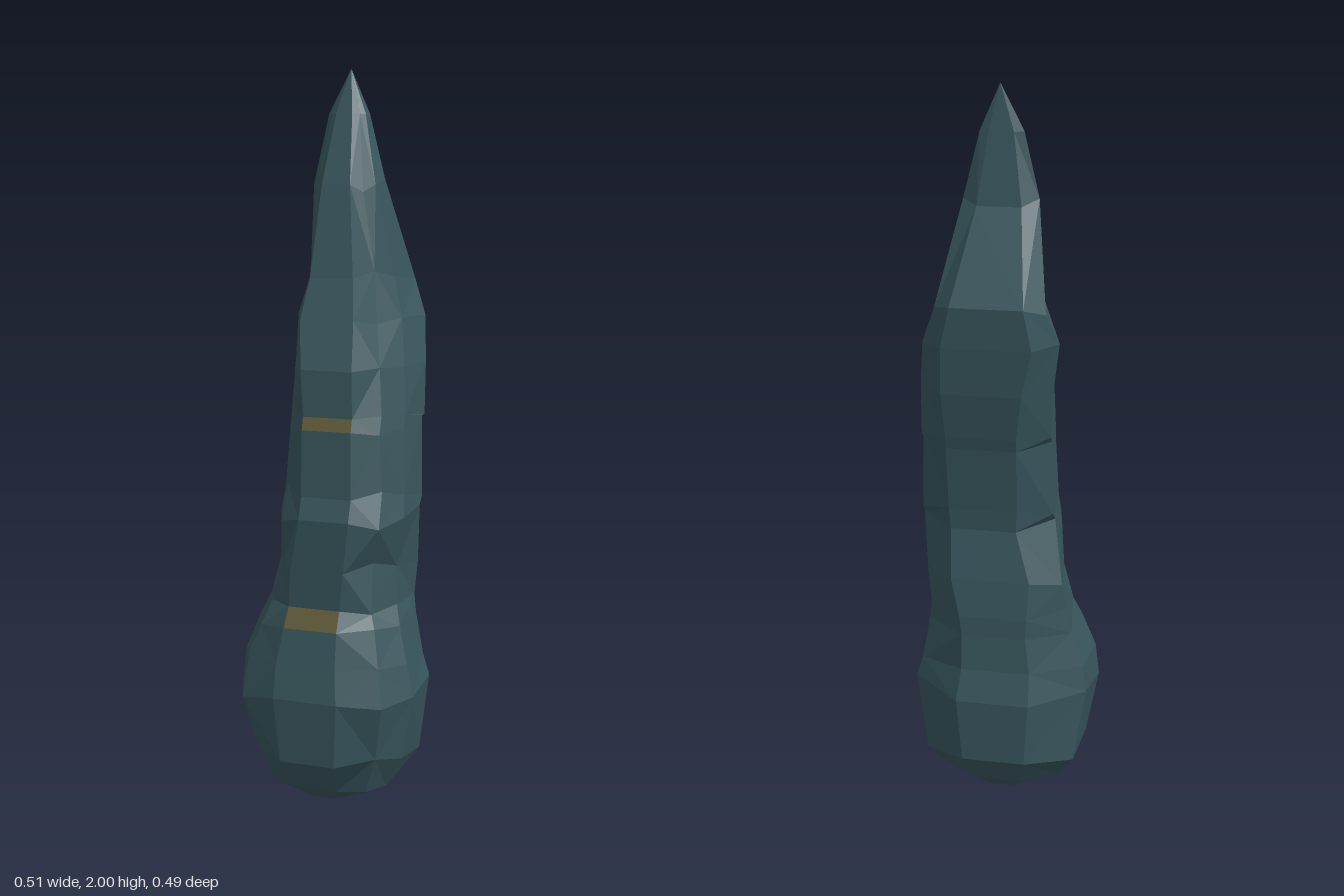
import * as THREE from 'three';

// Level of the spire: y, xMin, xMax, zBack, zFront, blend (0 = base shape, 1 = crown shape)
const LEVELS = [
  [0, -0.075, 0.075, -0.06, 0.12, 0],
  [0.04, -0.17, 0.17, -0.11, 0.165, 0],
  [0.13, -0.22, 0.22, -0.18, 0.23, 0],
  [0.31, -0.255, 0.255, -0.19, 0.245, 0],
  [0.4, -0.245, 0.235, -0.17, 0.228, 0],
  [0.5, -0.21, 0.212, -0.165, 0.208, 0.1],
  [0.555, -0.195, 0.2, -0.165, 0.183, 0.3],
  [0.66, -0.18, 0.205, -0.155, 0.188, 0.65],
  [0.8, -0.155, 0.225, -0.135, 0.195, 0.3],
  [0.86, -0.153, 0.222, -0.142, 0.175, 0.4],
  [1.04, -0.15, 0.213, -0.175, 0.165, 0.5],
  [1.075, -0.152, 0.212, -0.185, 0.152, 0.5],
  [1.2, -0.16, 0.205, -0.215, 0.145, 0.75],
  [1.33, -0.18, 0.188, -0.235, 0.095, 1],
  [1.44, -0.148, 0.15, -0.245, 0.055, 1],
  [1.69, -0.115, 0.09, -0.147, -0.01, 0.7],
  [1.88, -0.075, 0.045, -0.128, -0.075, 0.6],
  [2, -0.011, -0.009, -0.116, -0.114, 0.5],
];
const GOLD_BANDS = [5, 10]; // front facets that carry the inlays

// Right half of the ten-sided outline, front to back, on a unit square
const BASE = [[0.36, 1], [0.8, 0.74], [1, 0.28], [0.96, -0.5], [0.4, -1]];
const CROWN = [[0.42, 1], [0.63, 0.5], [0.84, 0], [1, -0.65], [0.66, -1]];

function ring([y, x0, x1, z0, z1, blend], level) {
  const half = BASE.map(([x, z], i) => [
    THREE.MathUtils.lerp(x, CROWN[i][0], blend),
    THREE.MathUtils.lerp(z, CROWN[i][1], blend),
  ]);
  const mirrored = half.map(([x, z]) => [-x, z]).reverse();
  const cx = (x0 + x1) / 2, cz = (z0 + z1) / 2;
  return [...half, ...mirrored].map(([x, z], j) => {
    // uneven chipping on the flanks
    const chip = [1, 3, 6, 8].includes(j) ? 0.04 * Math.sin(level * 2.7 + j * 1.9) : 0;
    return [
      cx + x * (x1 - x0) / 2,
      y + (level > 1 && level < 16 ? chip * 0.5 : 0),
      cz + z * (1 - chip * 2) * (z1 - z0) / 2,
    ];
  });
}

function facetMesh(name, triangles, material) {
  const geometry = new THREE.BufferGeometry();
  geometry.setAttribute('position', new THREE.Float32BufferAttribute(triangles.flat(), 3));
  geometry.computeVertexNormals();
  const mesh = new THREE.Mesh(geometry, material);
  mesh.name = name;
  return mesh;
}

export function createModel() {
  const stone = new THREE.MeshStandardMaterial({ color: 0x38565d, flatShading: true });
  stone.name = 'blueGreyStone';
  const ochre = new THREE.MeshStandardMaterial({ color: 0x625c3a, flatShading: true });
  ochre.name = 'dullOchre';

  const rings = LEVELS.map(ring);
  const body = [], inlays = [];
  const n = rings[0].length;

  // Facets between levels; the last column is the front strip
  for (let i = 0; i < rings.length - 1; i++) {
    for (let j = 0; j < n; j++) {
      const k = (j + 1) % n;
      const a = rings[i][j], b = rings[i][k], c = rings[i + 1][k], d = rings[i + 1][j];
      const target = j === n - 1 && GOLD_BANDS.includes(i) ? inlays : body;
      if ((i + j) % 2) target.push(a, b, c, a, c, d);
      else target.push(a, b, d, b, c, d);
    }
  }

  // Flat foot and closed tip
  for (let j = 0; j < n; j++) {
    const k = (j + 1) % n;
    body.push([0, 0, 0.03], rings[0][k], rings[0][j]);
    body.push([-0.01, 2, -0.115], rings.at(-1)[j], rings.at(-1)[k]);
  }

  const group = new THREE.Group();
  group.name = 'rockSpire';
  group.add(facetMesh('spireBody', body, stone), facetMesh('frontInlays', inlays, ochre));
  return group;
}
